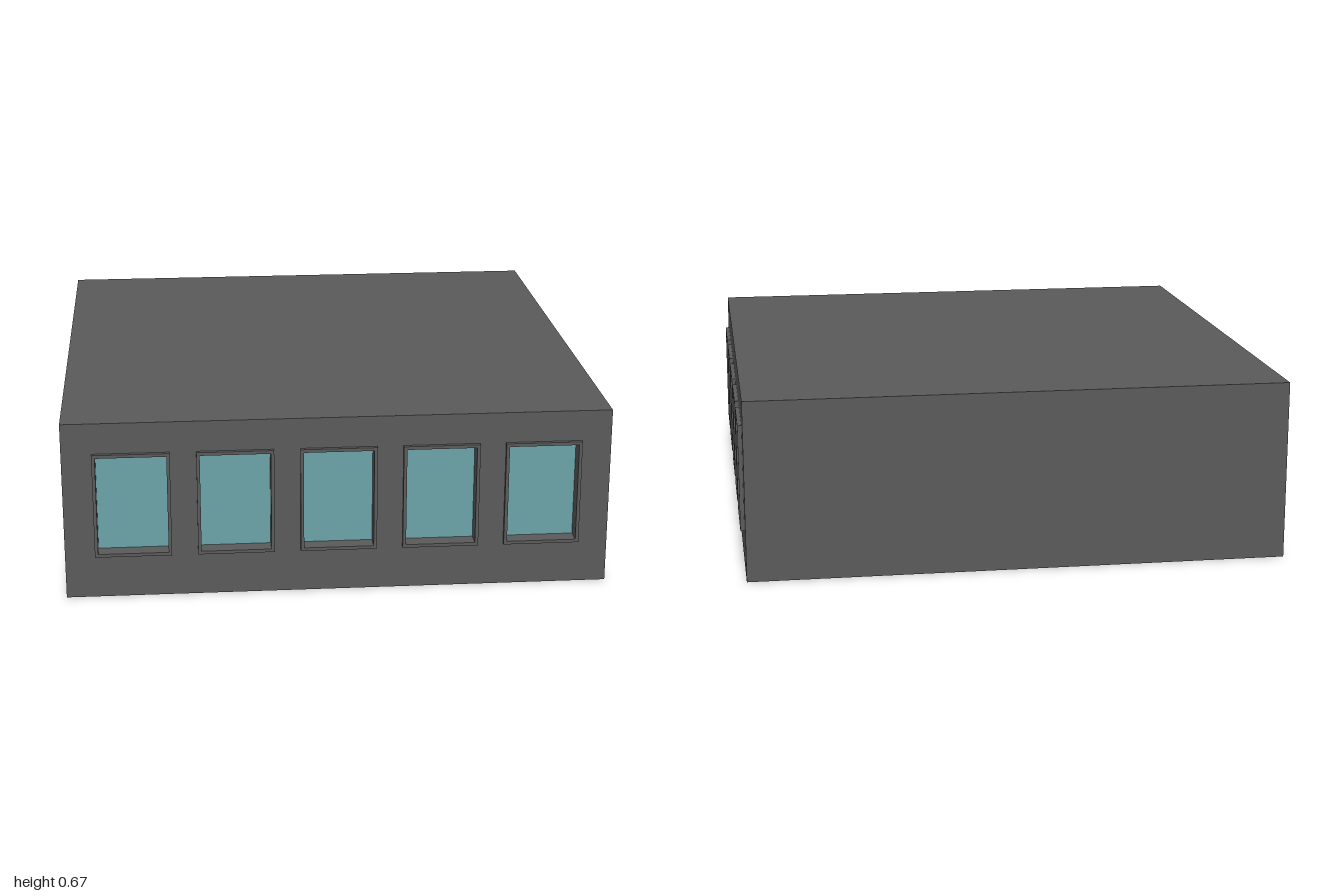
import * as THREE from 'three';

const HALF = 0.9925, HEIGHT = 0.665;         // building block
const WIN_W = 0.278, WIN_H = 0.392, WIN_Y = 0.355, PITCH = 0.3727, COUNT = 5;
const RIM = 0.012, PROUD = 0.015, DEPTH = 0.07; // window frames

const wallMat = new THREE.MeshStandardMaterial({ color: 0x5a5a5a });
const glassMat = new THREE.MeshStandardMaterial({ color: 0x6ba3a8 });

function rect(Type, w, h, cx = 0, cy = 0) {
  return new Type([[-1, -1], [1, -1], [1, 1], [-1, 1]].map(
    ([x, y]) => new THREE.Vector2(cx + x * w / 2, cy + y * h / 2)));
}

function addMesh(parent, name, geometry, material) {
  const mesh = new THREE.Mesh(geometry, material);
  mesh.name = name;
  parent.add(mesh);
  return mesh;
}

// Projecting frame with a recessed pane
function makeWindow() {
  const win = new THREE.Group();
  win.name = 'window';
  const w = WIN_W - 2 * RIM, h = WIN_H - 2 * RIM;
  const ring = rect(THREE.Shape, WIN_W, WIN_H);
  ring.holes.push(rect(THREE.Path, w, h));
  addMesh(win, 'windowFrame',
    new THREE.ExtrudeGeometry(ring, { depth: DEPTH, bevelEnabled: false }), wallMat)
    .position.z = PROUD - DEPTH;
  addMesh(win, 'windowGlass', new THREE.PlaneGeometry(w, h), glassMat)
    .position.z = PROUD - DEPTH + 0.01;
  return win;
}

// Wall with a row of window openings, facing +z
function makeWindowWall(name) {
  const wall = new THREE.Group();
  wall.name = name;
  const shape = rect(THREE.Shape, 2 * HALF, HEIGHT, 0, HEIGHT / 2);
  for (let i = 0; i < COUNT; i++) {
    const x = (i - (COUNT - 1) / 2) * PITCH;
    shape.holes.push(rect(THREE.Path, WIN_W, WIN_H, x, WIN_Y));
    const win = makeWindow();
    win.position.set(x, WIN_Y, HALF);
    wall.add(win);
  }
  addMesh(wall, 'wallPanel', new THREE.ShapeGeometry(shape), wallMat).position.z = HALF;
  return wall;
}

export function createModel() {
  const building = new THREE.Group();
  building.name = 'building';

  // Plain roof, floor and blank walls: a box without its +x and +z faces
  const box = new THREE.BoxGeometry(2 * HALF, HEIGHT, 2 * HALF);
  const index = Array.from(box.index.array);
  box.setIndex([...index.slice(6, 24), ...index.slice(30)]);
  box.clearGroups();
  addMesh(building, 'roofFloorAndBlankWalls', box, wallMat).position.y = HEIGHT / 2;

  // Two windowed walls
  building.add(makeWindowWall('frontWall'));
  const side = makeWindowWall('sideWall');
  side.rotation.y = Math.PI / 2;
  building.add(side);

  // The frames project on two sides only, so shift to centre the whole
  building.position.set(-PROUD / 2, 0, -PROUD / 2);
  const model = new THREE.Group();
  model.name = 'model';
  model.add(building);
  return model;
}
